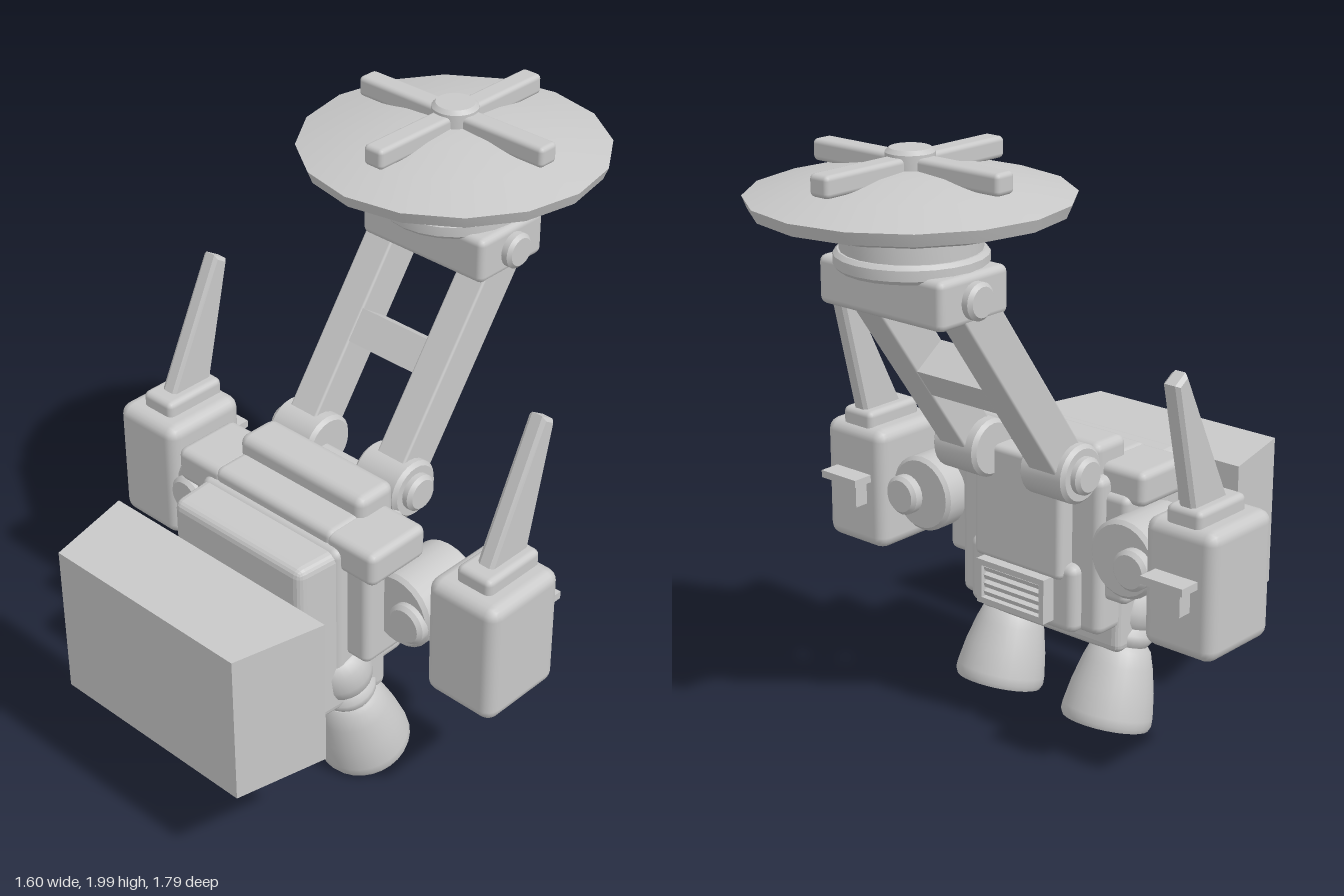
import * as THREE from 'three';
import { RoundedBoxGeometry } from 'three/addons/geometries/RoundedBoxGeometry.js';
import { toCreasedNormals } from 'three/addons/utils/BufferGeometryUtils.js';

export function createModel() {
  const model = new THREE.Group();
  model.name = 'dishBackpack';
  const grey = new THREE.MeshStandardMaterial({ color: 0xc8c8c8 });
  grey.name = 'plain grey';

  const add = (name, geometry, parent = model) => {
    const mesh = new THREE.Mesh(geometry, grey);
    mesh.name = name;
    parent.add(mesh);
    return mesh;
  };
  // Box given by its extents; bevel 0 keeps it sharp
  const box = (name, [x0, x1], [y0, y1], [z0, z1], bevel = 0.02, parent = model) => {
    const size = [Math.abs(x1 - x0), y1 - y0, z1 - z0];
    const geo = bevel ? new RoundedBoxGeometry(...size, 2, bevel) : new THREE.BoxGeometry(...size);
    const mesh = add(name, geo, parent);
    mesh.position.set((x0 + x1) / 2, (y0 + y1) / 2, (z0 + z1) / 2);
    return mesh;
  };
  // Narrow a mesh in x from its back to its front
  const taperFront = (mesh, depth, ratio) => {
    const p = mesh.geometry.attributes.position;
    for (let i = 0; i < p.count; i++) {
      const t = p.getZ(i) / depth + 0.5;
      p.setX(i, p.getX(i) * (1 + (ratio - 1) * t));
    }
    mesh.geometry.computeVertexNormals();
    return mesh;
  };
  const lathe = (pts, sides, crease = 0.6) =>
    toCreasedNormals(new THREE.LatheGeometry(pts.map(p => new THREE.Vector2(...p)), sides), crease);
  // Bevelled cylinder along a chosen axis
  const drum = (name, axis, r, length, x, y, z, parent = model) => {
    const b = Math.min(0.012, r * 0.2), h = length / 2;
    const mesh = add(name, lathe([[0, -h], [r - b, -h], [r, -h + b], [r, h - b], [r - b, h], [0, h]], 24), parent);
    if (axis === 'x') mesh.rotation.z = Math.PI / 2;
    if (axis === 'z') mesh.rotation.x = Math.PI / 2;
    mesh.position.set(x, y, z);
    return mesh;
  };

  // Detached front block, narrower at the front
  taperFront(box('frontBlock', [-0.44, 0.44], [0.36, 0.87], [0.6, 0.9], 0), 0.3, 0.84);

  // Body core and stepped panels
  box('bodyCore', [-0.29, 0.29], [0.4, 0.93], [0.09, 0.4], 0.03);
  taperFront(box('frontPanel', [-0.3, 0.3], [0.31, 0.92], [0.18, 0.53], 0.03), 0.35, 0.9);
  box('middleStep', [-0.25, 0.25], [0.7, 0.97], [0.2, 0.375], 0.025);
  box('topStep', [-0.26, 0.26], [0.8, 1.03], [0.11, 0.26], 0.03);
  box('backPanel', [-0.18, 0.18], [0.58, 0.97], [0.03, 0.2], 0.02);
  box('lowerBackBox', [-0.22, 0.22], [0.4, 0.63], [0.05, 0.2], 0.03);

  // Louvred vent on the back
  for (const y of [0.445, 0.575]) box('ventFrameRail', [-0.14, 0.14], [y - 0.01, y + 0.01], [0, 0.06], 0);
  for (const x of [-0.13, 0.13]) box('ventFrameSide', [x - 0.01, x + 0.01], [0.44, 0.58], [0, 0.06], 0);
  for (let i = 0; i < 4; i++) {
    const slat = box('ventSlat', [-0.12, 0.12], [0.465 + i * 0.028, 0.481 + i * 0.028], [0.012, 0.06], 0);
    slat.rotation.x = -0.3;
  }

  // Tilted frame that carries the dish
  const tilt = Math.atan2(-0.46, 0.65);
  const mast = new THREE.Group();
  mast.name = 'mast';
  mast.position.set(0, 0.95, 0.04);
  mast.rotation.x = tilt;
  model.add(mast);
  box('mastCrossbar', [-0.14, 0.14], [0.335, 0.445], [-0.065, 0.065], 0, mast);

  for (const s of [-1, 1]) {
    box('mastArm', [s * 0.13, s * 0.24], [0, 0.8], [-0.068, 0.068], 0.008, mast);

    // Hinge at the foot of the arm
    drum('hingeBarrel', 'x', 0.095, 0.18, s * 0.18, 0.96, 0.03);
    drum('hingePin', 'x', 0.06, 0.1, s * 0.25, 0.96, 0.03);

    // Shoulder blocks
    box('shoulderTop', [s * 0.22, s * 0.415], [0.85, 0.965], [0.14, 0.375], 0.025);
    box('shoulderSide', [s * 0.24, s * 0.37], [0.52, 0.88], [0.12, 0.35], 0.025);

    // Side joint
    drum('jointBarrel', 'z', 0.127, 0.24, s * 0.42, 0.72, 0.155);
    drum('jointPin', 'z', 0.066, 0.31, s * 0.475, 0.71, 0.15);
    box('jointLink', [s * 0.42, s * 0.56], [0.63, 0.79], [0.06, 0.24], 0.02);

    // Side pod with cap and rear bracket
    box('pod', [s * 0.54, s * 0.8], [0.5, 0.915], [-0.02, 0.285], 0.04);
    box('podCap', [s * 0.605, s * 0.735], [0.88, 0.965], [0, 0.23], 0.02);
    box('bracketBase', [s * 0.61, s * 0.72], [0.655, 0.74], [-0.07, 0.0], 0);
    box('bracketLip', [s * 0.59, s * 0.745], [0.735, 0.76], [-0.093, 0.0], 0);

    // Swept fin on the pod
    const outline = new THREE.Shape([[-0.19, 0.94], [-0.02, 0.94], [0.078, 1.36], [0.03, 1.39]]
      .map(p => new THREE.Vector2(...p)));
    const fin = add('fin', new THREE.ExtrudeGeometry(outline, {
      depth: 0.036, bevelSize: 0.01, bevelOffset: -0.01, bevelThickness: 0.012, bevelSegments: 1,
    }).translate(0, 0, -0.018));
    fin.rotation.y = Math.PI / 2;
    fin.position.x = s * 0.67;

    // Thruster: hollow bell, ribbed neck and ball
    const thruster = new THREE.Group();
    thruster.name = 'thruster';
    thruster.position.set(s * 0.23, 0.053, 0.206);
    thruster.rotation.x = 0.305;
    model.add(thruster);
    add('bell', lathe([[0, 0.22], [0.06, 0.22], [0.105, 0.12], [0.125, 0.03], [0.13, 0], [0.142, 0],
      [0.149, 0.015], [0.148, 0.04], [0.135, 0.12], [0.115, 0.2], [0.098, 0.25], [0.085, 0.265], [0, 0.265]], 28, 0.8), thruster);
    add('ribbedNeck', lathe([[0.07, 0.25], [0.082, 0.265], [0.095, 0.285], [0.095, 0.305], [0.08, 0.325],
      [0.095, 0.345], [0.1, 0.38], [0.092, 0.44], [0.07, 0.47], [0, 0.475]], 24, 0.9), thruster);
  }

  // Head block with side pins
  box('headBlock', [-0.243, 0.243], [1.53, 1.677], [-0.56, -0.275], 0.022);
  drum('headPin', 'x', 0.056, 0.55, 0, 1.6, -0.42);

  // Turntable and dish
  const dish = new THREE.Group();
  dish.name = 'dish';
  dish.position.z = -0.42;
  model.add(dish);
  drum('turntableBase', 'y', 0.225, 0.055, 0, 1.685, 0, dish);
  drum('turntableNeck', 'y', 0.207, 0.13, 0, 1.73, 0, dish);
  add('dishPlate', lathe([[0, 1.775], [0.24, 1.775], [0.36, 1.8], [0.46, 1.83], [0.475, 1.868],
    [0.33, 1.908], [0.17, 1.938], [0, 1.95]], 16), dish);

  // Cross and hub on the dish
  box('crossBarAcross', [-0.36, 0.36], [1.915, 1.98], [-0.036, 0.036], 0.015, dish);
  box('crossBarAlong', [-0.036, 0.036], [1.915, 1.98], [-0.36, 0.36], 0.015, dish);
  drum('crossHub', 'y', 0.072, 0.08, 0, 1.96, 0, dish);

  return model;
}
